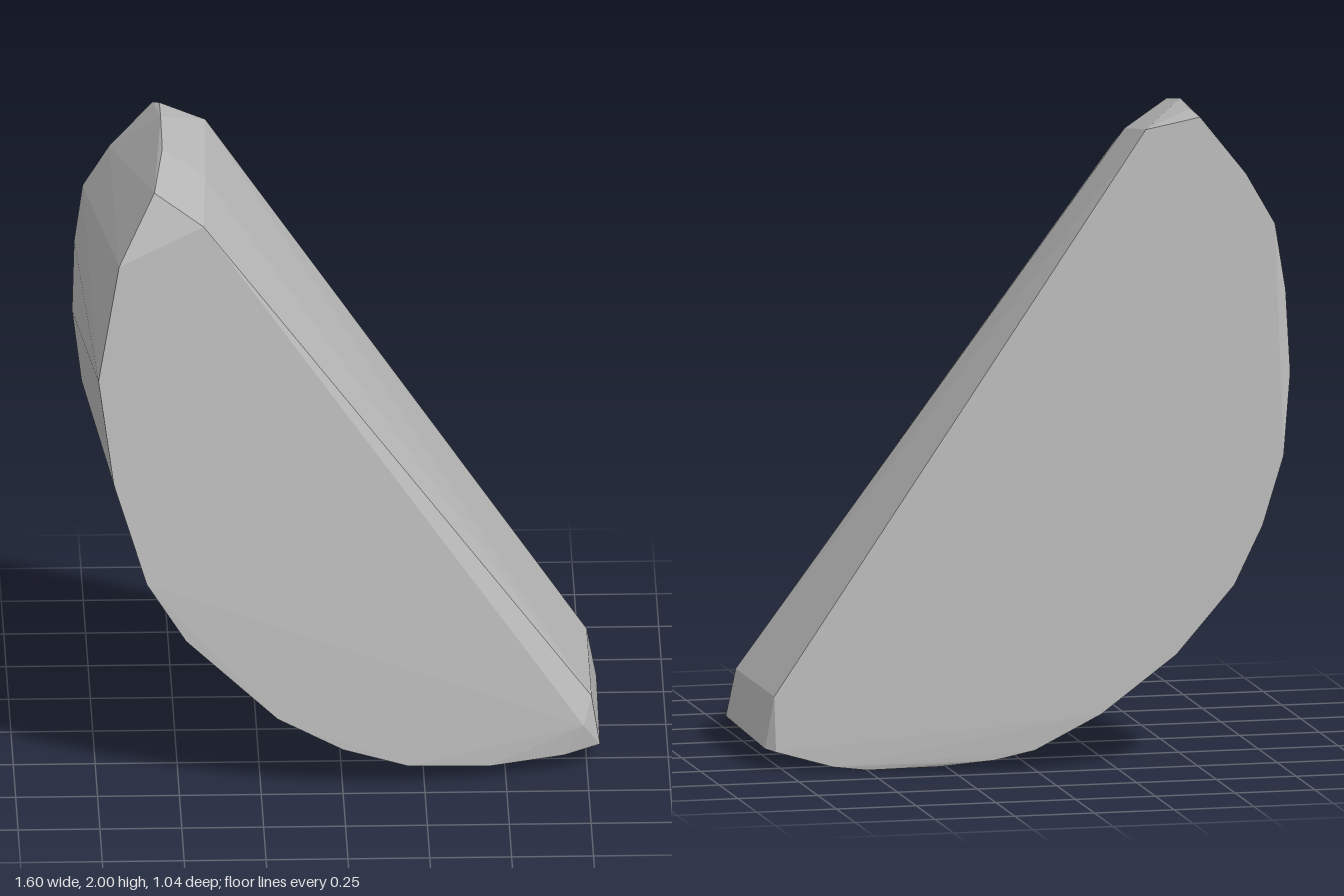
import * as THREE from 'three';
import { ConvexGeometry } from 'three/addons/geometries/ConvexGeometry.js';

// Rim of the front face, from the upper tip round the curve to the lower tip
const frontRim = [
  [-0.57, 1.91, 0.28], [-0.68, 1.7, 0.36], [-0.745, 1.35, 0.43], [-0.7, 1.03, 0.485],
  [-0.6, 0.71, 0.517], [-0.48, 0.52, 0.517], [-0.2, 0.25, 0.5], [0, 0.135, 0.475],
  [0.2, 0.065, 0.445], [0.45, 0.04, 0.395], [0.68, 0.05, 0.34], [0.79, 0.07, 0.305],
];

// Rim of the back face, in the same order
const backRim = [
  [-0.56, 1.97, -0.28], [-0.69, 1.8, -0.34], [-0.77, 1.65, -0.385], [-0.795, 1.45, -0.42],
  [-0.8, 1.2, -0.46], [-0.77, 0.95, -0.5], [-0.7, 0.74, -0.517], [-0.61, 0.56, -0.523],
  [-0.43, 0.35, -0.515], [-0.2, 0.17, -0.49], [0, 0.06, -0.455], [0.12, 0.03, -0.43],
  [0.28, 0.01, -0.39], [0.5, 0, -0.345], [0.6, 0.01, -0.325], [0.77, 0.055, -0.28],
  [0.795, 0.06, -0.24],
];

// Corners of the long sloping flat, with its bevel at the front
const slopeCorners = [
  [-0.4, 1.93, -0.235], [-0.41, 1.88, 0.09], [-0.42, 1.8, 0.29],
  [0.765, 0.22, -0.235], [0.765, 0.22, 0.28], [0.74, 0.14, 0.325],
];

// Blunt ridge across the upper tip
const tipRidge = [[-0.54, 1.99, -0.23], [-0.54, 2, -0.1], [-0.54, 1.97, 0.08]];

export function createModel() {
  const group = new THREE.Group();
  group.name = 'facetedWedge';
  const grey = new THREE.MeshStandardMaterial({ color: 0xb4b4b4 });
  grey.name = 'stone grey';
  grey.flatShading = true;

  // One closed faceted body spanning both rims
  const points = [...frontRim, ...backRim, ...slopeCorners, ...tipRidge]
    .map((p) => new THREE.Vector3(...p));
  const body = new THREE.Mesh(new ConvexGeometry(points), grey);
  body.name = 'body';
  group.add(body);
  return group;
}
